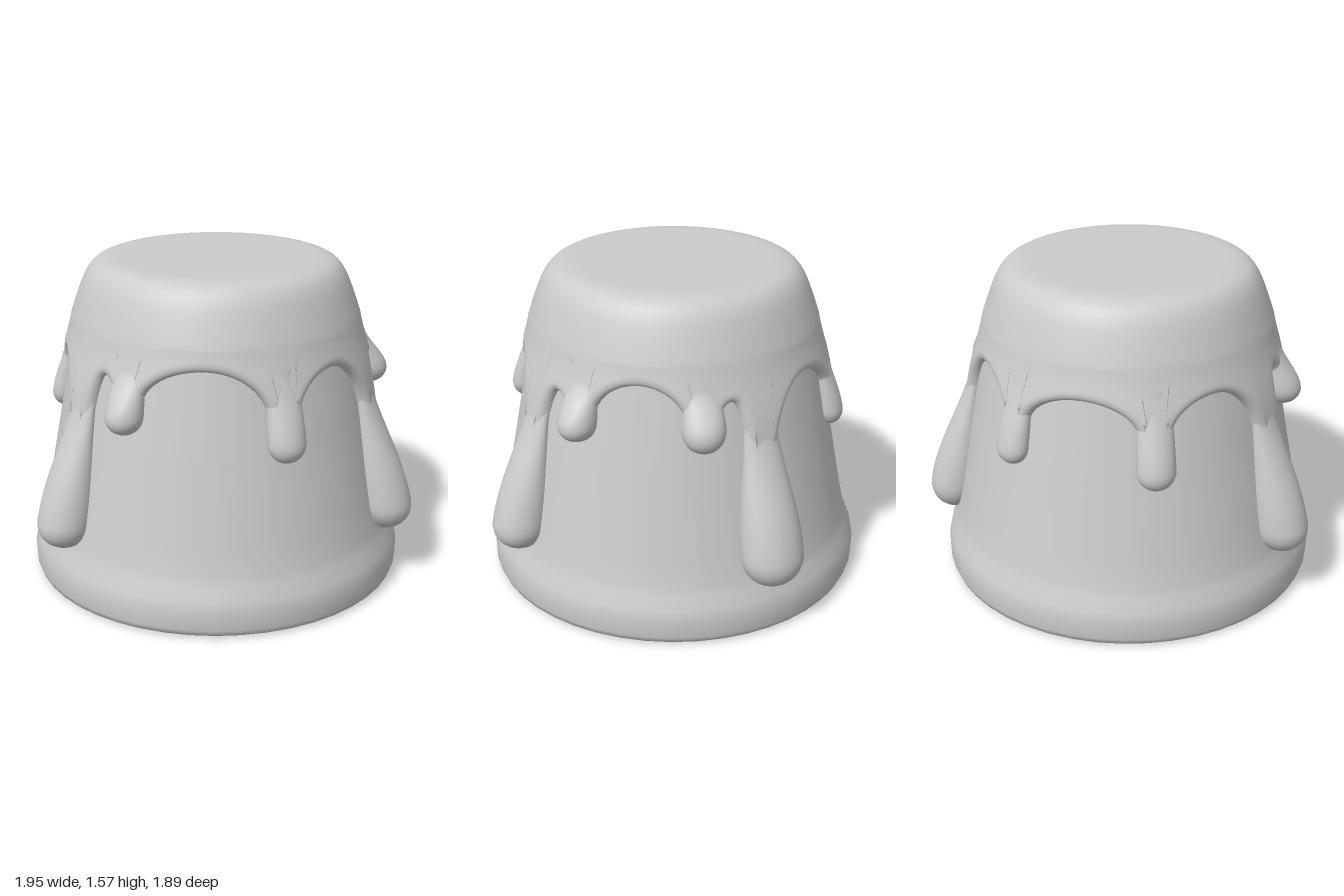
import * as THREE from 'three';

const { lerp, smoothstep, degToRad } = THREE.MathUtils;
const LIP = 0.05;

// Drips round the cake: angle from the front toward +x, tip height, bulb half-width,
// bulb depth, height where the icing edge meets it, and the top of the arch after it.
const DRIPS = [
  { deg: 18.5, tip: 0.27, w: 0.138, d: 0.16, spring: 0.84, arch: 1.1 },
  { deg: 41, tip: 0.91, w: 0.09, d: 0.12, spring: 1.02, arch: 1.2 },
  { deg: 86, tip: 0.91, w: 0.1, d: 0.11, spring: 1.02, arch: 1.12 },
  { deg: 107, tip: 0.24, w: 0.155, d: 0.16, spring: 0.84, arch: 1.15 },
  { deg: 154, tip: 0.78, w: 0.085, d: 0.08, spring: 0.98, arch: 1.14 },
  { deg: 206, tip: 0.75, w: 0.09, d: 0.085, spring: 0.98, arch: 1.14 },
  { deg: 253, tip: 0.27, w: 0.135, d: 0.16, spring: 0.84, arch: 1.13 },
  { deg: 275, tip: 0.89, w: 0.09, d: 0.11, spring: 1.02, arch: 1.2 },
  { deg: 332, tip: 0.78, w: 0.092, d: 0.085, spring: 0.97, arch: 1.155 },
];

const cakeRadius = (y) => 0.925 - 0.19 * y;
const neckWidth = (drip) => Math.min(0.08, drip.w * 0.85);
const neckAngle = (drip) => neckWidth(drip) / 0.77;
const polar = (angle, r, y) => new THREE.Vector3(r * Math.sin(angle), y, r * Math.cos(angle));

// Smooth skin over rows of points; each row is a closed loop.
function loft(rows) {
  const n = rows[0].length;
  const index = [];
  for (let j = 0; j < rows.length - 1; j++) {
    for (let i = 0; i < n; i++) {
      const a = j * n + i, b = j * n + ((i + 1) % n);
      index.push(a, b, b + n, a, b + n, a + n);
    }
  }
  const geometry = new THREE.BufferGeometry().setFromPoints(rows.flat());
  geometry.setIndex(index);
  geometry.computeVertexNormals();
  return geometry;
}

// Scalloped lower edge of the icing as (angle, height) points.
function icingEdge() {
  const edge = [];
  DRIPS.forEach((drip, k) => {
    const next = DRIPS[(k + 1) % DRIPS.length];
    const centre = degToRad(drip.deg), neck = neckAngle(drip);
    for (const s of [-0.5, 0, 0.5]) edge.push([centre + s * neck, drip.spring]);
    const start = centre + neck;
    const end = degToRad(next.deg + (next.deg < drip.deg ? 360 : 0)) - neckAngle(next);
    const steps = 24;
    for (let i = 0; i <= steps; i++) {
      const phi = (i / steps - 0.5) * Math.PI;
      const drop = drip.arch - (phi < 0 ? drip : next).spring;
      edge.push([lerp(start, end, (Math.sin(phi) + 1) / 2), drip.arch - drop * (1 - Math.cos(phi))]);
    }
  });
  return edge;
}

function icingGeometry() {
  const edge = icingEdge();
  const n = edge.length;
  // Direction pointing into the icing at every edge point
  const inward = edge.map((_, i) => {
    const p = edge[(i + n - 1) % n], q = edge[(i + 1) % n];
    let da = q[0] - p[0];
    if (da < -Math.PI) da += Math.PI * 2;
    return new THREE.Vector2(p[1] - q[1], da * 0.77).normalize();
  });
  const rows = [];
  // Rounded lip
  const lipSteps = 7;
  for (let j = 0; j <= lipSteps; j++) {
    const a = (j / lipSteps) * Math.PI / 2;
    const shift = LIP * (1 - Math.cos(a));
    rows.push(edge.map(([angle, y], i) => {
      const h = y + inward[i].y * shift;
      const thin = 0.025 * smoothstep(h, 1.0, 1.3);
      return polar(angle + inward[i].x * shift / 0.77, cakeRadius(h) - 0.008 + (LIP + 0.008 - thin) * Math.sin(a), h);
    }));
  }
  // Skirt
  const skirtSteps = 8;
  for (let j = 1; j <= skirtSteps; j++) {
    const v = j / skirtSteps;
    rows.push(edge.map(([angle, y], i) => {
      const h = lerp(y + inward[i].y * LIP, 1.3, v);
      const r = cakeRadius(h) + LIP - 0.025 * smoothstep(h, 1.0, 1.3);
      return polar(angle + inward[i].x * LIP / 0.77 * (1 - v), r, h);
    }));
  }
  // Shoulder and flat top
  const crown = new THREE.SplineCurve([
    [0.703, 1.3], [0.668, 1.4], [0.63, 1.49], [0.585, 1.545], [0.52, 1.568], [0.42, 1.572], [0.2, 1.572], [0, 1.572],
  ].map(([r, y]) => new THREE.Vector2(r, y)));
  for (const p of crown.getPoints(21).slice(1)) {
    rows.push(edge.map(([angle]) => polar(angle, Math.max(p.x, 0), p.y)));
  }
  return loft(rows);
}

// A run of icing: narrow neck, swelling to a rounded bulb at the tip.
function dripGeometry(drip) {
  const angle = degToRad(drip.deg);
  const out = polar(angle, 1, 0);
  const side = new THREE.Vector3(out.z, 0, -out.x);
  const top = Math.min(1.2, drip.spring + 0.25), bulbY = drip.tip + drip.w;
  const rows = [];
  const ring = (y, w, d) => {
    const row = [];
    const centre = polar(angle, cakeRadius(y) + d * 0.15, y);
    for (let i = 0; i < 28; i++) {
      const phi = (i / 28) * Math.PI * 2;
      row.push(centre.clone()
        .addScaledVector(side, w * Math.cos(phi))
        .addScaledVector(out, d * 0.85 * Math.sin(phi)));
    }
    rows.push(row);
  };
  for (let j = 0; j < 20; j++) {
    const p = j / 20, s = smoothstep(p, 0, 1);
    ring(lerp(top, bulbY, p), lerp(neckWidth(drip), drip.w, s), lerp(0.035, drip.d, s));
  }
  for (let j = 0; j <= 10; j++) {
    const a = (j / 10) * Math.PI / 2;
    ring(bulbY - drip.w * Math.sin(a), drip.w * Math.cos(a), drip.d * Math.cos(a));
  }
  return loft(rows);
}

export function createModel() {
  const model = new THREE.Group();
  model.name = 'icedCake';
  const material = new THREE.MeshStandardMaterial({ color: 0xcccccc });
  const add = (name, geometry) => {
    const mesh = new THREE.Mesh(geometry, material);
    mesh.name = name;
    mesh.position.set(-0.013, 0, -0.03);
    model.add(mesh);
    return mesh;
  };

  // Tapered cake with a flared foot
  const profile = [
    [0.895, 0], [0.915, 0.012], [0.926, 0.04], [0.928, 0.12], [0.915, 0.18],
    [0.89, 0.23], [0.873, 0.29], [cakeRadius(0.4), 0.4], [cakeRadius(0.8), 0.8], [cakeRadius(1.25), 1.25],
  ].map(([r, y]) => new THREE.Vector2(r, y));
  add('cake', new THREE.LatheGeometry(profile, 48));
  add('cakeUnderside', new THREE.CircleGeometry(0.895, 48).rotateX(Math.PI / 2));

  // Icing cap and its drips
  add('icing', icingGeometry());
  DRIPS.forEach((drip, i) => add(`drip${i + 1}`, dripGeometry(drip)));
  return model;
}
